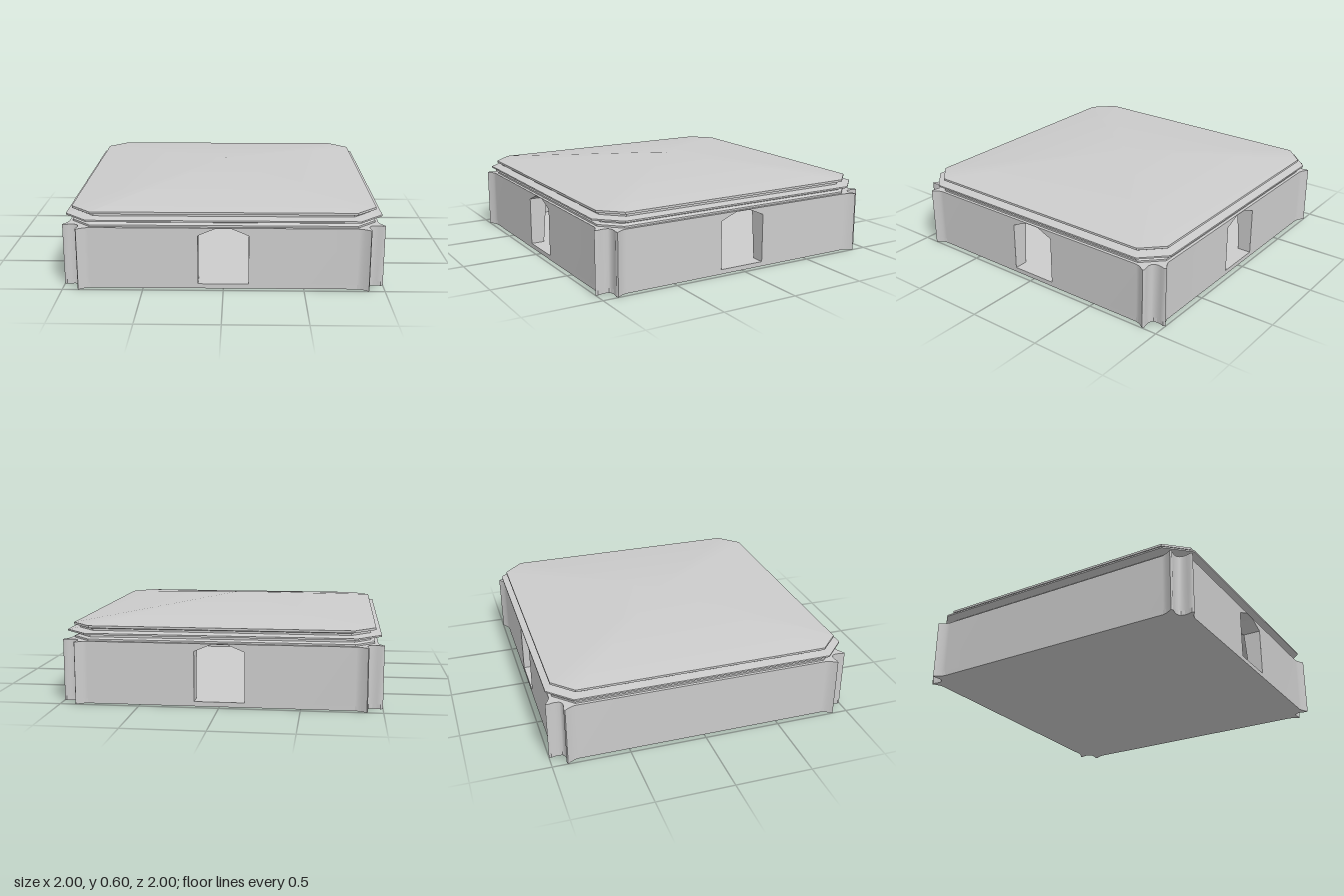
import * as THREE from 'three';

const FLOOR = 0.03, WALL_TOP = 0.394, DOOR_HALF = 0.157;

// Surface from a rectangular grid of points: point(i, j) -> [x, y, z]
function grid(nu, nv, point) {
  const pos = [], idx = [];
  for (let j = 0; j < nv; j++) for (let i = 0; i < nu; i++) pos.push(...point(i, j));
  for (let j = 0; j < nv - 1; j++) {
    for (let i = 0; i < nu - 1; i++) {
      const a = j * nu + i, b = a + 1, c = a + nu, d = c + 1;
      idx.push(a, b, d, a, d, c);
    }
  }
  const g = new THREE.BufferGeometry();
  g.setAttribute('position', new THREE.Float32BufferAttribute(pos, 3));
  g.setIndex(idx);
  g.computeVertexNormals();
  return g;
}

const material = (flatShading) =>
  new THREE.MeshStandardMaterial({ color: 0xcccccc, flatShading, side: THREE.DoubleSide });
const smooth = material(false), flat = material(true);

function add(parent, name, geometry, mat = flat) {
  const mesh = new THREE.Mesh(geometry, mat);
  mesh.name = name;
  parent.add(mesh);
}

// Outer face of a wall: straight, flaring out to a fin at each end
const outer = (x) => 0.965 + 0.035 * Math.max(0, (Math.abs(x) - 0.83) / 0.07) ** 1.5;

// Height of the bottom of the wall: floor, or the door head over an opening
function lowerEdge(x, door) {
  const a = Math.abs(x);
  if (!door || a > DOOR_HALF) return FLOOR;
  return a < 0.05 ? 0.39 : 0.39 - (a - 0.05) / (DOOR_HALF - 0.05) * 0.045;
}

// Inner wall with dado rail and coved ceiling: [distance from centre, height]
const inner = [[0.875, 0.03], [0.875, 0.2], [0.865, 0.205], [0.865, 0.225], [0.895, 0.23],
  [0.895, 0.29], [0.87, 0.33], [0.82, 0.365], [0.74, 0.392], [0.6, 0.41]];
function innerDepth(y) {
  const i = inner.findIndex((p, k) => k > 0 && y <= p[1]);
  const [d0, y0] = inner[i - 1], [d1, y1] = inner[i];
  return d0 + (d1 - d0) * (y - y0) / (y1 - y0);
}

// Columns along a wall, with a double column at each jamb
const half = [0.05, 0.1, DOOR_HALF, DOOR_HALF + 0.0001, 0.5, 0.83, 0.85, 0.865, 0.88, 0.89, 0.9];
const xs = [...half.map((x) => -x).reverse(), 0, ...half];

// Corner recess in plan, from the end of one wall to the start of the next
const notch = [[0.9, 1], [0.906, 0.985], [0.9, 0.96], [0.897, 0.935], [0.903, 0.913],
  [0.913, 0.903], [0.935, 0.897], [0.96, 0.9], [0.985, 0.906], [1, 0.9]];

// Plan of the walls; y of the shape is -z
function footprint() {
  const pts = [];
  for (let k = 0; k < 4; k++) {
    const side = [...xs.map((x) => [x, outer(x)]), ...notch.slice(1, -1)];
    for (const [x, z] of side) {
      pts.push(new THREE.Vector2(x, -z).rotateAround(new THREE.Vector2(), k * Math.PI / 2));
    }
  }
  return new THREE.Shape(pts);
}

function wallSide(door) {
  const side = new THREE.Group();
  add(side, 'outerWall', grid(xs.length, 2, (i, j) =>
    [xs[i], j ? WALL_TOP : lowerEdge(xs[i], door), outer(xs[i])]), smooth);
  add(side, 'cornerRecess', grid(notch.length, 2, (i, j) =>
    [notch[i][0], j ? WALL_TOP : FLOOR, notch[i][1]]), smooth);
  add(side, 'innerWallAndCove', grid(xs.length, inner.length, (i, j) => {
    const y = Math.max(inner[j][1], lowerEdge(xs[i], door));
    const d = innerDepth(y);
    return [THREE.MathUtils.clamp(-xs[i], -d, d), y, d];
  }));
  if (door) {
    // Jambs and head of the opening, following the moulded inner wall
    const jamb = inner.slice(0, 7).map(([, y]) => [DOOR_HALF, y]);
    const right = [...jamb, [DOOR_HALF, 0.345], [0.1, lowerEdge(0.1, door)], [0.05, 0.39]];
    const outline = [...right, ...right.map(([x, y]) => [-x, y]).reverse()];
    add(side, 'doorReveal', grid(outline.length, 2, (i, j) => {
      const [x, y] = outline[i];
      return [x, y, j ? innerDepth(y) : outer(x)];
    }));
  }
  return side;
}

// Stack of chamfered squares: [half width, corner cut, height]
function chamferedLoft(levels) {
  return grid(9, levels.length, (i, j) => {
    const [w, c, y] = levels[j];
    const p = new THREE.Vector3((i % 2 ? 1 : -1) * (w - c), y, w);
    return p.applyAxisAngle(new THREE.Vector3(0, 1, 0), Math.floor(i / 2) * Math.PI / 2).toArray();
  });
}

export function createModel() {
  const model = new THREE.Group();
  model.name = 'pavilion';

  // Floor slab
  const slab = new THREE.ExtrudeGeometry(footprint(), { depth: FLOOR, bevelEnabled: false });
  add(model, 'floorSlab', slab.rotateX(-Math.PI / 2));

  // Four walls; three have doorways
  ['front', 'right', 'back', 'left'].forEach((name, k) => {
    const side = wallSide(k < 3);
    side.name = ['front', 'left', 'back', 'right'][k] + 'Wall';
    side.rotation.y = k * Math.PI / 2;
    model.add(side);
  });

  // Top of the walls, open over the room
  const cap = footprint();
  const h = 0.8;
  cap.holes.push(new THREE.Path([[-h, -h], [-h, h], [h, h], [h, -h]].map((p) => new THREE.Vector2(...p))));
  add(model, 'wallTop', new THREE.ShapeGeometry(cap).rotateX(-Math.PI / 2).translate(0, WALL_TOP, 0));

  // Flat middle of the ceiling
  add(model, 'ceiling', new THREE.PlaneGeometry(1.2, 1.2).rotateX(Math.PI / 2).translate(0, 0.41, 0));

  // Moulded cornice
  add(model, 'cornice', chamferedLoft([
    [0.945, 0.12, WALL_TOP], [0.945, 0.12, 0.405], [0.92, 0.1, 0.415],
    [0.92, 0.1, 0.428], [0.985, 0.145, 0.438], [0.985, 0.145, 0.448], [0.92, 0.12, 0.456],
    [0.92, 0.12, 0.468], [0.95, 0.13, 0.476], [0.95, 0.13, 0.49]]));

  // Shallow pyramid roof, softly shaded towards the apex
  const roof = chamferedLoft([[0.95, 0.13, 0.49], [0, 0, 0.6]]);
  const n = roof.attributes.normal;
  for (let i = 9; i < n.count; i++) n.setXYZ(i, 0, 1, 0);
  add(model, 'roof', roof, smooth);
  return model;
}
